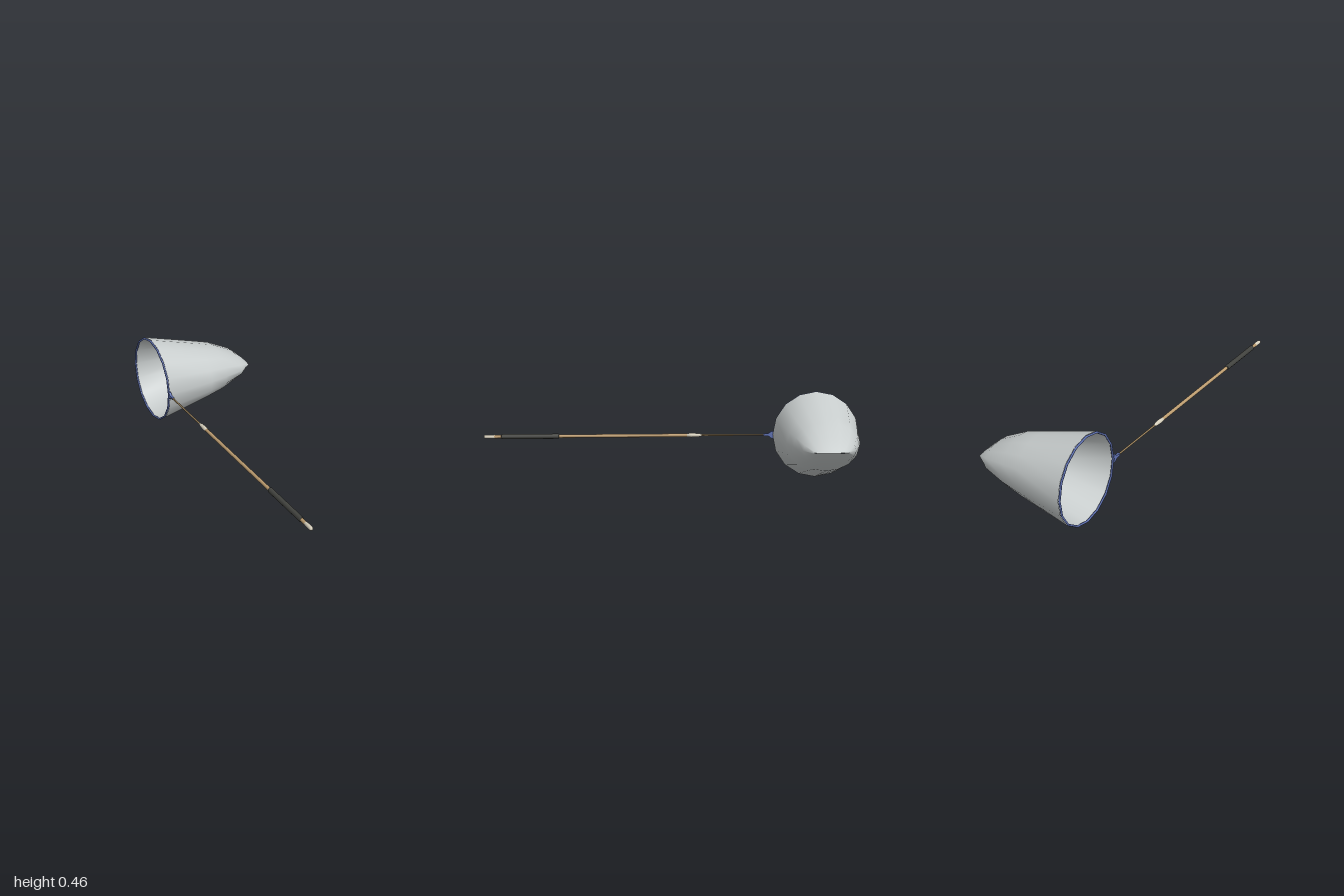
import * as THREE from 'three';

const CX = -0.277, CY = 0.2345, HOOP_Z = -0.768, SIDES = 16;

function mat(name, color, side = THREE.FrontSide) {
  const m = new THREE.MeshStandardMaterial({ color, side });
  m.name = name;
  return m;
}

// Net bag: elliptical rings that flatten into a curved seam at the end
function bagGeometry() {
  // x, half height, half depth, bow of the ring towards its sides
  const rings = [
    [-0.273, 0.2305, 0.2315, 0],
    [0.0, 0.154, 0.191, 0],
    [0.095, 0.127, 0.17, 0],
    [0.212, 0.069, 0.135, 0],
    [0.275, 0.013, 0.093, 0.008],
    [0.288, 0.0005, 0.087, 0.012],
  ];
  const pos = [], index = [];
  for (const [x, ry, rz, bow] of rings) {
    for (let i = 0; i < SIDES; i++) {
      const a = (i / SIDES) * Math.PI * 2;
      pos.push(x - bow * Math.cos(a) ** 2, CY + ry * Math.sin(a), HOOP_Z + rz * Math.cos(a));
    }
  }
  for (let r = 0; r < rings.length - 1; r++) {
    for (let i = 0; i < SIDES; i++) {
      const a = r * SIDES + i, b = r * SIDES + (i + 1) % SIDES;
      index.push(a, b, a + SIDES, b, b + SIDES, a + SIDES);
    }
  }
  const g = new THREE.BufferGeometry();
  g.setAttribute('position', new THREE.Float32BufferAttribute(pos, 3));
  g.setIndex(index);
  g.computeVertexNormals();
  // Make sure the front faces point outwards
  if (g.attributes.normal.getY(SIDES / 4) < 0) {
    g.setIndex(index.reverse());
    g.computeVertexNormals();
  }
  return g;
}

export function createModel() {
  const group = new THREE.Group();
  const netMat = mat('net cloth', 0xc8cdcd, THREE.DoubleSide);
  const blue = mat('blue frame', 0x5f71b2);
  const wood = mat('tan wood', 0xbd9d70);
  const rodMat = mat('brown rod', 0x9a825c);
  const metal = mat('pale metal', 0xd8d1be);
  const grip = mat('dark grip', 0x42433f);

  const add = (name, geometry, material) => {
    const mesh = new THREE.Mesh(geometry, material);
    mesh.name = name;
    group.add(mesh);
  };

  // Turned part along the handle axis, from [z, radius] pairs in rising z
  const turned = (name, profile, material, sides = 10) => {
    const pts = profile.map(([z, r]) => new THREE.Vector2(r, z));
    const g = new THREE.LatheGeometry(pts, sides);
    g.rotateX(Math.PI / 2);
    g.translate(CX, CY, 0);
    add(name, g, material);
  };

  add('netBag', bagGeometry(), netMat);

  // Hoop, tucked just inside the mouth of the bag
  const hoop = new THREE.TorusGeometry(0.226, 0.0055, 6, SIDES);
  hoop.rotateY(Math.PI / 2);
  hoop.translate(CX, CY, HOOP_Z);
  add('hoop', hoop, blue);

  // Forked bracket that joins the hoop to the rod
  const fork = new THREE.Shape();
  fork.moveTo(0.545, -0.019);
  fork.lineTo(0.53, -0.019);
  fork.lineTo(0.514, -0.007);
  fork.lineTo(0.488, -0.0055);
  fork.lineTo(0.488, 0.0055);
  fork.lineTo(0.514, 0.007);
  fork.lineTo(0.53, 0.019);
  fork.lineTo(0.545, 0.019);
  fork.lineTo(0.54, 0);
  const bracket = new THREE.ExtrudeGeometry(fork, { depth: 0.013, bevelEnabled: false });
  bracket.rotateY(Math.PI / 2);
  bracket.translate(CX - 0.0065, CY, 0);
  add('bracket', bracket, blue);

  // Handle, from the hoop to the butt
  turned('rod', [[-0.53, 0], [-0.53, 0.0045], [-0.14, 0.005], [-0.14, 0]], rodMat, 8);
  turned('ferrule', [[-0.158, 0], [-0.156, 0.006], [-0.14, 0.0095], [-0.1, 0.0115], [-0.078, 0.0095], [-0.078, 0]], metal);
  turned('pole', [[-0.095, 0], [-0.095, 0.009], [0.955, 0.009], [0.955, 0]], wood);
  turned('grip', [[0.602, 0], [0.602, 0.011], [0.607, 0.0135], [0.903, 0.0135], [0.908, 0.011], [0.908, 0]], grip);
  turned('buttCap', [[0.945, 0], [0.945, 0.0105], [0.99, 0.0105], [1, 0.007], [1, 0]], metal);

  return group;
}
